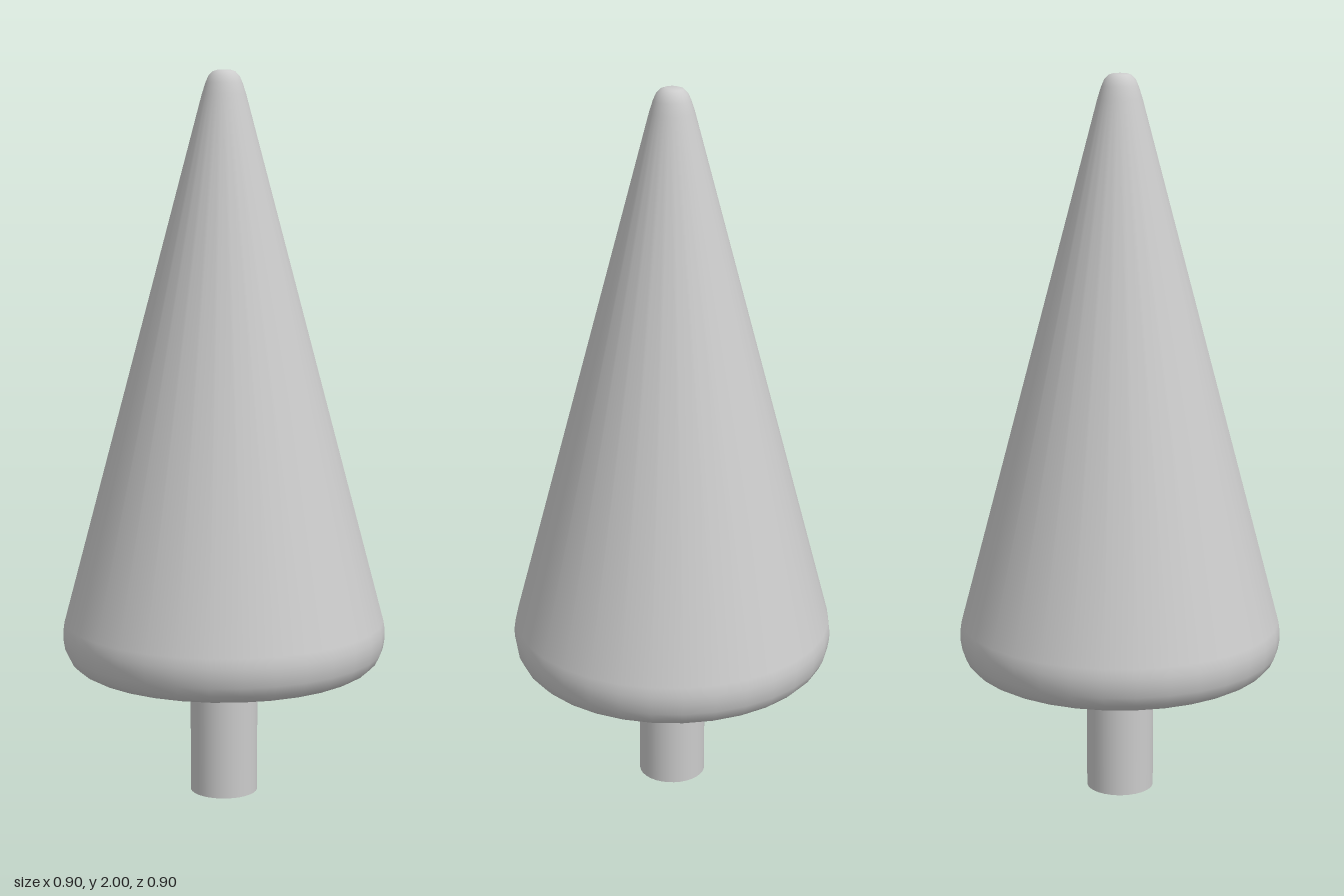
import * as THREE from 'three';

const SIDES = 32;

function lathe(name, points, material) {
  const geometry = new THREE.LatheGeometry(points.map(([r, y]) => new THREE.Vector2(r, y)), SIDES);
  const mesh = new THREE.Mesh(geometry, material);
  mesh.name = name;
  return mesh;
}

export function createModel() {
  const group = new THREE.Group();
  group.name = 'coneTree';
  const material = new THREE.MeshStandardMaterial({ color: 0xcccccc });

  // Foliage: tall cone with a rounded lower rim and a blunt rounded tip
  group.add(lathe('foliage', [
    [0, 0.365], [0.385, 0.365], [0.4, 0.366], [0.415, 0.374], [0.431, 0.39],
    [0.443, 0.415], [0.448, 0.445], [0.448, 0.468], [0.444, 0.495],
    [0.06, 1.935], [0.05, 1.966], [0.042, 1.984], [0.03, 1.996], [0.018, 2], [0, 2],
  ], material));

  // Trunk: plain round post, its top tucked inside the foliage
  const trunk = new THREE.Mesh(new THREE.CylinderGeometry(0.094, 0.094, 0.38, SIDES), material);
  trunk.name = 'trunk';
  trunk.position.y = 0.19;
  group.add(trunk);

  return group;
}
